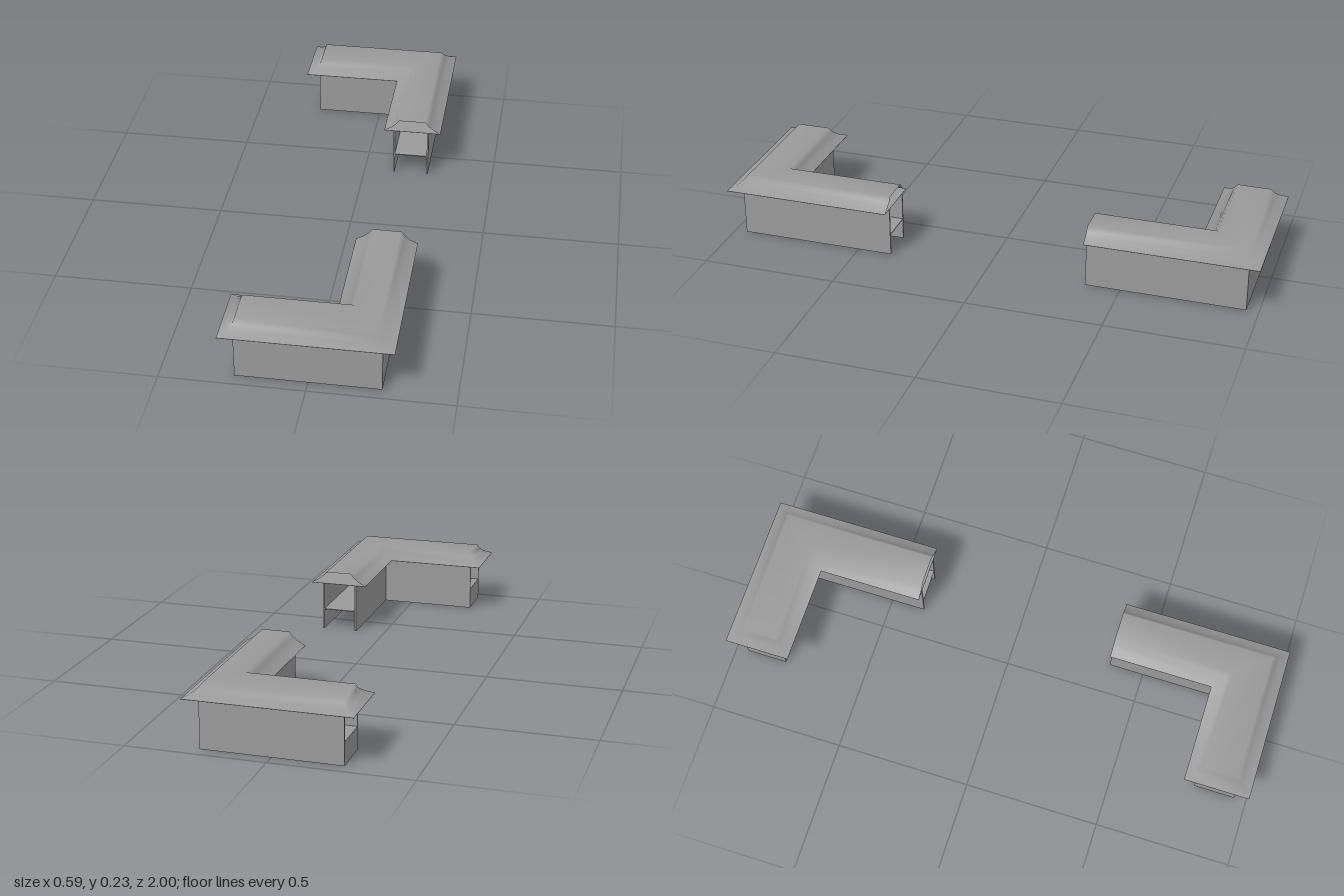
import * as THREE from 'three';

const END = 0.372; // z of the open cut ends

// Corners of the L-shaped plan, grown by d; s = 1 front, -1 back; innerX is the inner side of the long arm
function outline(d, s, innerX) {
  const left = -0.249 - Math.max(d, -0.006);
  return [
    [0.249 + d, END], [0.249 + d, 0.955 + d], [left, 0.955 + d],
    [left, 0.803 - d], [innerX - d, 0.803 - d], [innerX - d, END],
  ].map(([x, z]) => [x, z * s]);
}
const wallOutline = (d, s) => outline(d, s, 0.112);
const roofOutline = (d, s) => outline(d, s, 0.12);

// Extrudes a plan polygon vertically from y0 to y1
function slab(points, y0, y1) {
  const shape = new THREE.Shape(points.map(([x, z]) => new THREE.Vector2(x, z)));
  return new THREE.ExtrudeGeometry(shape, { depth: y1 - y0, bevelEnabled: false })
    .rotateX(Math.PI / 2).translate(0, y1, 0);
}

// Concave eaves rising to a flat top, smooth shaded, open at the cut end
function roof(s) {
  const profile = [[0.045, 0.187], [0.018, 0.201], [0, 0.216], [-0.014, 0.233]];
  const positions = [], index = [];
  for (const [d, y] of profile) {
    for (const [x, z] of roofOutline(d, s)) positions.push(x, y, z);
  }
  const quad = (a, b, c, d) => {
    if (s > 0) index.push(a, b, c, a, c, d);
    else index.push(a, c, b, a, d, c);
  };
  for (let k = 0; k < profile.length - 1; k++) {
    for (let i = 0; i < 5; i++) {
      const a = k * 6 + i;
      quad(a, a + 6, a + 7, a + 1);
    }
  }
  const t = (profile.length - 1) * 6;
  quad(t, t + 5, t + 4, t + 1);
  quad(t + 1, t + 4, t + 3, t + 2);
  const geometry = new THREE.BufferGeometry();
  geometry.setAttribute('position', new THREE.Float32BufferAttribute(positions, 3));
  geometry.setIndex(index);
  geometry.computeVertexNormals();
  return geometry;
}

export function createModel() {
  const model = new THREE.Group();
  const material = new THREE.MeshStandardMaterial({ color: 0x9a9a9a, side: THREE.DoubleSide });

  for (const [s, name] of [[1, 'frontCornerWall'], [-1, 'backCornerWall']]) {
    const corner = new THREE.Group();
    corner.name = name;
    const add = (part, geometry) => {
      const mesh = new THREE.Mesh(geometry, material);
      mesh.name = part;
      corner.add(mesh);
    };

    // Two thin parallel walls following the bend
    const face = wallOutline(0, s), inset = wallOutline(-0.006, s);
    for (const k of [2, 3]) inset[k][0] = face[k][0];
    add('outerWall', slab([face[0], face[1], face[2], inset[2], inset[1], inset[0]], 0, 0.187));
    add('innerWall', slab([face[3], face[4], face[5], inset[5], inset[4], inset[3]], 0, 0.187));

    // Walkway between the walls, with a panel closing the short arm below it
    add('walkway', slab(inset, 0.079, 0.082));
    const [[x, z0], [, z1]] = [inset[2], inset[3]];
    add('endPanel', slab([[x, z0], [x + 0.006, z0], [x + 0.006, z1], [x, z1]], 0, 0.079));

    // Roof and its underside
    add('roofUnderside', slab(roofOutline(0.045, s), 0.186, 0.187));
    add('roof', roof(s));
    model.add(corner);
  }
  return model;
}
